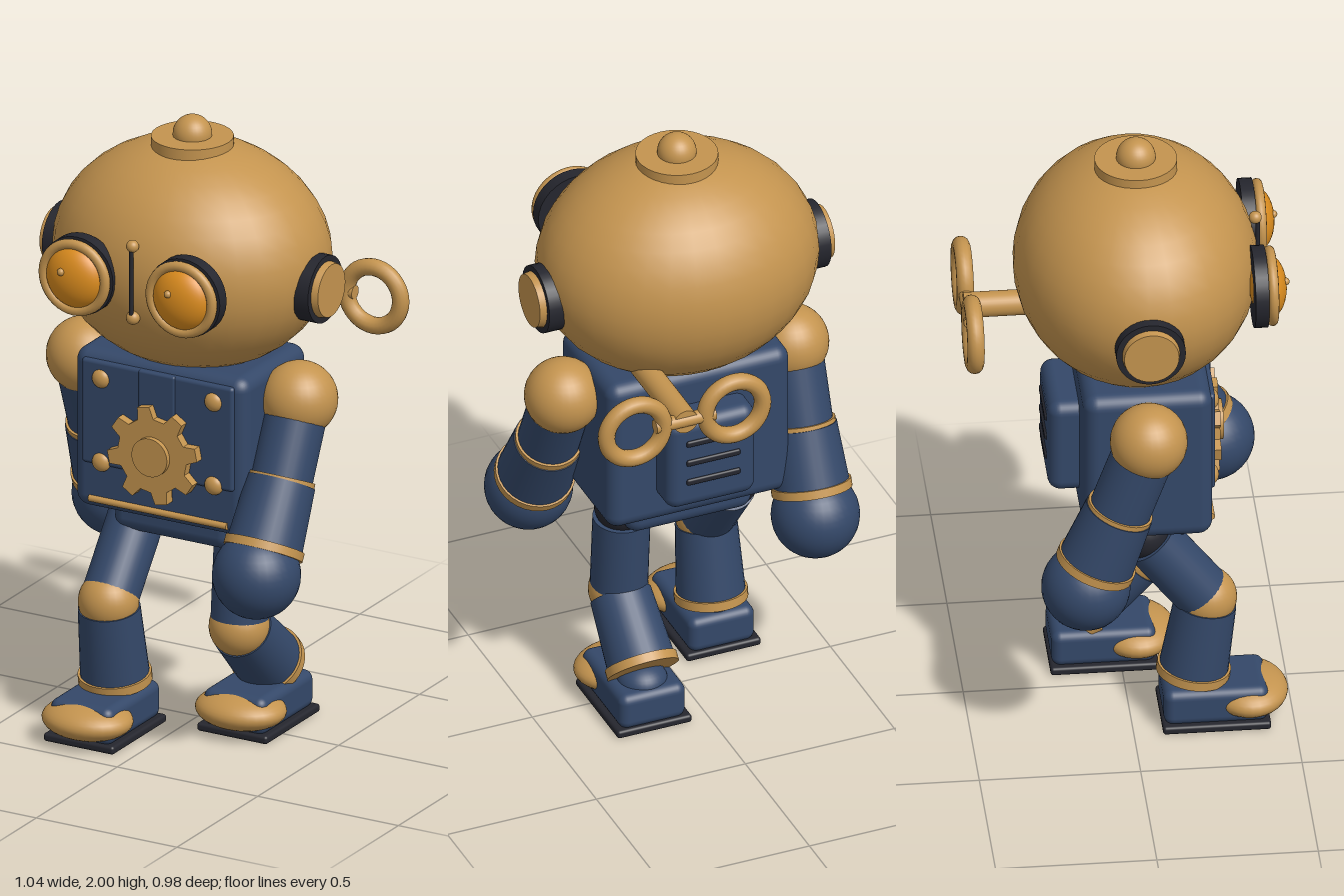
import * as THREE from 'three';
import { RoundedBoxGeometry } from 'three/addons/geometries/RoundedBoxGeometry.js';

export function createModel() {
  const root = new THREE.Group();
  root.name = 'windUpRobot';
  const mat = (name, color) => {
    const m = new THREE.MeshStandardMaterial({ color });
    m.name = name;
    return m;
  };
  const brass = mat('brass', 0xc4944f);
  const blue = mat('navy blue', 0x344869);
  const dark = mat('charcoal', 0x25262e);
  const amber = mat('amber', 0xdb8c1e);

  const V = (x, y, z) => new THREE.Vector3(x, y, z);
  const add = (name, geo, m, x = 0, y = 0, z = 0) => {
    const mesh = new THREE.Mesh(geo, m);
    mesh.name = name;
    mesh.position.set(x, y, z);
    root.add(mesh);
    return mesh;
  };
  const ball = (name, m, p, rx, ry = rx, rz = rx) => {
    const mesh = add(name, new THREE.SphereGeometry(1, 32, 20), m, ...p);
    mesh.scale.set(rx, ry, rz);
    return mesh;
  };
  const box = (name, m, p, w, h, d, r) =>
    add(name, new RoundedBoxGeometry(w, h, d, 4, r), m, ...p);
  // Cylinder running from a to b
  const rod = (name, m, a, b, ra, rb = ra) => {
    const dir = b.clone().sub(a);
    const geo = new THREE.CylinderGeometry(rb, ra, dir.length(), 32);
    const mesh = add(name, geo, m, ...a.clone().add(b).multiplyScalar(0.5));
    mesh.quaternion.setFromUnitVectors(V(0, 1, 0), dir.normalize());
    return mesh;
  };
  // Short band centred on p, with its axis along dir
  const band = (name, p, dir, r, h) => {
    const half = dir.clone().normalize().multiplyScalar(h / 2);
    rod(name, brass, p.clone().sub(half), p.clone().add(half), r);
  };

  // Head with top cap
  ball('head', brass, V(0, 1.555, 0.033), 0.45, 0.365, 0.378);
  rod('capDisc', brass, V(0, 1.89, 0.035), V(0, 1.933, 0.035), 0.128);
  ball('capKnob', brass, V(0, 1.939, 0.035), 0.061);

  // Ears and eyes
  for (const s of [-1, 1]) {
    rod('earPad', dark, V(s * 0.4, 1.515, 0.035), V(s * 0.473, 1.515, 0.035), 0.108);
    rod('earCap', brass, V(s * 0.47, 1.515, 0.035), V(s * 0.495, 1.515, 0.035), 0.09, 0.085);

    const x = s * 0.19, y = 1.56;
    rod('eyeRim', dark, V(x, y, 0.376), V(x, y, 0.418), 0.128);
    add('eyeRing', new THREE.TorusGeometry(0.109, 0.016, 12, 40), brass, x, y, 0.434);
    ball('eyeLens', amber, V(x, y, 0.425), 0.1, 0.1, 0.058);
    ball('eyeGlint', brass, V(x - 0.023, y + 0.028, 0.478), 0.012);
  }

  // Face rod
  rod('faceRod', dark, V(0, 1.453, 0.413), V(0, 1.69, 0.413), 0.007);
  ball('faceRodTop', brass, V(0, 1.69, 0.405), 0.02);
  ball('faceRodBottom', brass, V(0, 1.453, 0.402), 0.022);

  // Torso, chest plates and pelvis
  box('torso', blue, V(0, 0.982, 0.045), 0.614, 0.525, 0.4, 0.045);
  box('chestPlate', blue, V(0, 1.047, 0.24), 0.54, 0.345, 0.03, 0.012);
  box('chestStrip', blue, V(0, 1.047, 0.245), 0.13, 0.345, 0.03, 0.008);
  rod('waistTrim', brass, V(-0.245, 0.757, 0.245), V(0.245, 0.757, 0.245), 0.011);
  box('pelvis', blue, V(0, 0.69, 0.045), 0.425, 0.11, 0.26, 0.045);
  for (const x of [-0.2, 0.2]) {
    for (const y of [0.886, 1.162]) ball('chestBolt', brass, V(x, y, 0.25), 0.031, 0.031, 0.022);
  }

  // Chest gear with eight tapered teeth
  const gear = new THREE.Shape();
  const step = Math.PI / 4;
  for (let i = 0; i < 8; i++) {
    for (const [t, r] of [[-0.3, 0.122], [-0.17, 0.16], [0.17, 0.16], [0.3, 0.122]]) {
      const a = 0.2 + (i + t) * step;
      const px = r * Math.cos(a), py = r * Math.sin(a);
      if (i === 0 && t === -0.3) gear.moveTo(px, py);
      else gear.lineTo(px, py);
    }
  }
  gear.closePath();
  add('chestGear', new THREE.ExtrudeGeometry(gear, { depth: 0.035, bevelEnabled: false }),
    brass, 0, 0.955, 0.25);
  rod('gearHub', brass, V(0, 0.955, 0.25), V(0, 0.955, 0.302), 0.063);

  // Back box with vents
  box('backBox', blue, V(0, 0.97, -0.18), 0.3, 0.32, 0.14, 0.04);
  for (const y of [0.91, 0.98, 1.05]) box('backVent', dark, V(0, y, -0.249), 0.18, 0.022, 0.016, 0.007);

  // Wind-up key
  rod('keyShaft', brass, V(0.19, 1.3, -0.1), V(0.19, 1.3, -0.48), 0.04);
  rod('keyBar', brass, V(0.09, 1.3, -0.467), V(0.29, 1.3, -0.467), 0.022);
  for (const s of [-1, 1]) {
    add('keyRing', new THREE.TorusGeometry(0.096, 0.027, 14, 40), brass, 0.19 + s * 0.166, 1.3, -0.467);
  }

  // Arms: one swings forward, the other back
  const arm = (x, elbow, wrist, hand) => {
    const shoulder = V(x, 1.137, 0.037);
    const e = V(x, ...elbow), w = V(x, ...wrist);
    ball('shoulder', brass, shoulder, 0.12);
    rod('upperArm', blue, shoulder, e, 0.097);
    band('elbowBand', e, e.clone().sub(shoulder), 0.105, 0.03);
    rod('forearm', blue, e, w, 0.108, 0.12);
    band('wristBand', w, w.clone().sub(e), 0.126, 0.028);
    ball('hand', blue, V(x, ...hand), 0.138);
  };
  arm(0.382, [0.9, 0.15], [0.715, 0.256], [0.643, 0.303]);
  arm(-0.382, [0.885, -0.055], [0.7, -0.127], [0.617, -0.158]);

  // Legs: the left steps back, the right steps forward
  const leg = (x, knee, ankle, footZ) => {
    const hip = V(x, 0.68, 0.037);
    const k = V(x, ...knee), a = V(x, ...ankle);
    ball('hipJoint', dark, hip, 0.087);
    const thighDir = k.clone().sub(hip);
    rod('thigh', blue, hip.clone().addScaledVector(thighDir, 0.13), k, 0.09);
    ball('knee', brass, k, 0.095);
    rod('shin', blue, k.clone().lerp(a, 0.08), a, 0.097, 0.108);
    band('ankleBand', a, a.clone().sub(k), 0.115, 0.03);
    ball('ankle', blue, V(x, 0.13, a.z), 0.08, 0.06, 0.08);
    // Foot
    box('sole', dark, V(x, 0.0135, footZ), 0.25, 0.027, 0.335, 0.01);
    box('shoe', blue, V(x, 0.08, footZ), 0.222, 0.122, 0.325, 0.03);
    ball('toeCap', brass, V(x, 0.08, footZ + 0.108), 0.148, 0.06, 0.122);
  };
  leg(0.183, [0.355, 0.063], [0.18, -0.118], -0.055);
  leg(-0.183, [0.425, 0.235], [0.165, 0.195], 0.257);

  return root;
}
